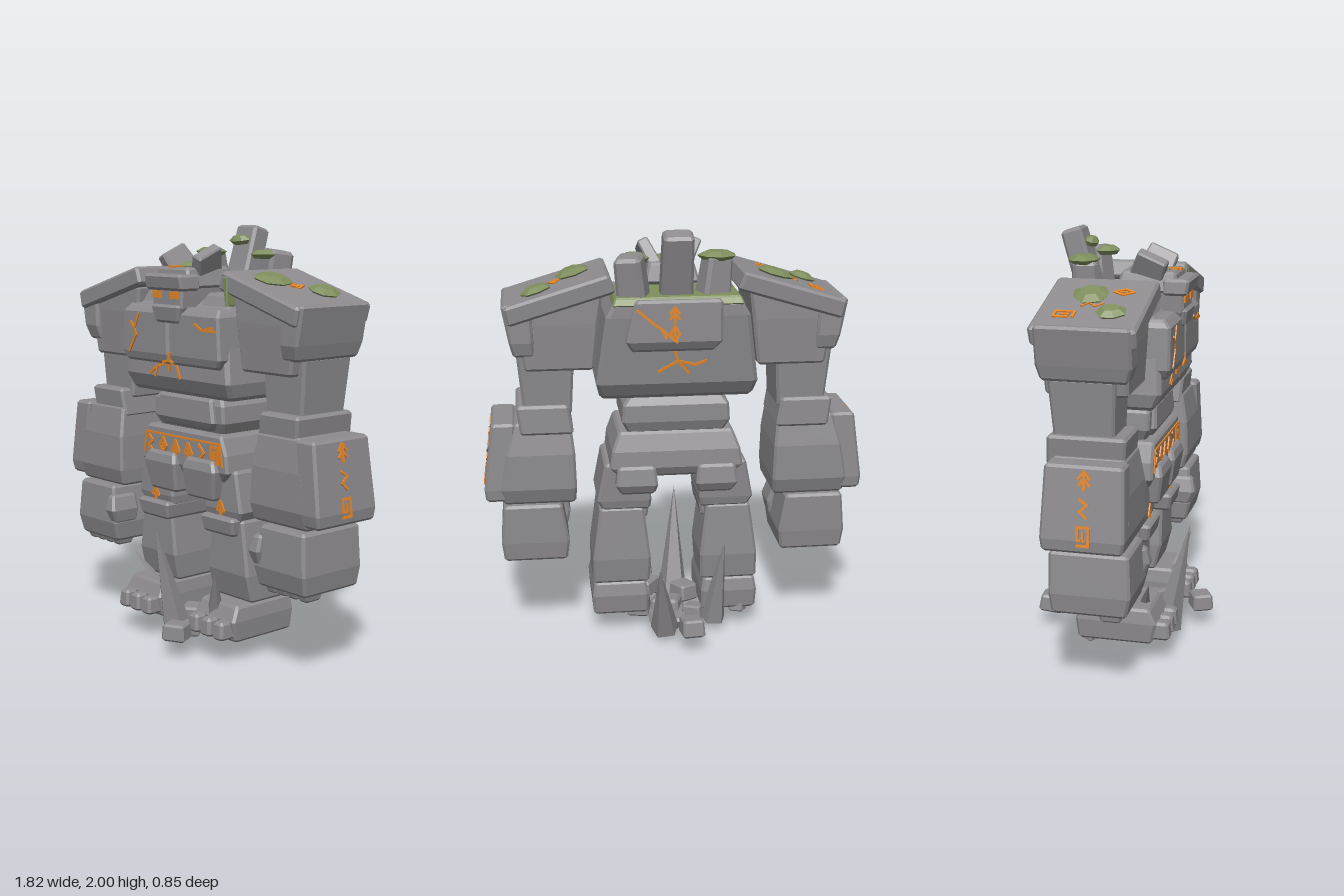
import * as THREE from 'three';
import { mergeGeometries } from 'three/addons/utils/BufferGeometryUtils.js';
import { ConvexGeometry } from 'three/addons/geometries/ConvexGeometry.js';

const mat = (name, color) => { const m = new THREE.MeshStandardMaterial({ color }); m.name = name; return m; };

export function createModel() {
  const model = new THREE.Group();
  model.name = 'stoneGolem';
  const stone = mat('stone', 0x8d8b8e), moss = mat('moss', 0x7f8e5d), ember = mat('ember', 0xe4872a);

  function add(name, geo, material, parent = model) {
    const m = new THREE.Mesh(geo, material);
    m.name = name;
    parent.add(m);
    return m;
  }

  // Chamfered block hulled over cross-sections [y, x0, x1, z0, z1], bottom to top
  function rock(name, rings, { s = 1, b = 0.012, material = stone, parent = model } = {}) {
    const pts = [];
    const ring = (y, x0, x1, z0, z1, c) => {
      for (const [x, dx] of [[x0, c], [x1, -c]]) for (const [z, dz] of [[z0, c], [z1, -c]])
        pts.push(new THREE.Vector3(s * (x + dx), y, z), new THREE.Vector3(s * x, y, z + dz));
    };
    rings.forEach(([y, x0, x1, z0, z1], i) => {
      const end = i === 0 ? 1 : i === rings.length - 1 ? -1 : 0;
      ring(y + end * b, x0, x1, z0, z1, b);
      if (end) ring(y, x0 + b, x1 - b, z0 + b, z1 - b, b / 2);
    });
    return add(name, new ConvexGeometry(pts), material, parent);
  }

  // Block of a given size, placed and turned about its centre
  function boulder(name, pos, [w, h, d], rot = [0, 0, 0], taper = 0.85) {
    const x = w / 2, z = d / 2;
    const m = rock(name, [[-h / 2, -x, x, -z, z], [h / 2, -x * taper, x * taper, -z * taper, z * taper]],
      { b: Math.min(w, h, d) * 0.12 });
    m.position.set(...pos);
    m.rotation.set(...rot);
    return m;
  }

  // Thin glowing lines; each polyline is [x, y, x, y, ...] in the plane facing +z
  function etch(name, lines, pos, size = 1, rot = [0, 0, 0], parent = model, w = 0.012) {
    const bits = [];
    for (const l of lines) for (let i = 0; i + 3 < l.length; i += 2) {
      const [x0, y0, x1, y1] = l.slice(i, i + 4).map(v => v * size);
      const g = new THREE.BoxGeometry(Math.hypot(x1 - x0, y1 - y0) + w * 0.6, w, 0.009);
      g.rotateZ(Math.atan2(y1 - y0, x1 - x0));
      g.translate((x0 + x1) / 2, (y0 + y1) / 2, 0);
      bits.push(g);
    }
    const m = add(name, mergeGeometries(bits), ember, parent);
    m.position.set(...pos);
    m.rotation.set(...rot);
    return m;
  }

  // Irregular flat-topped moss cushion
  function mossPatch(pos, rx, rz, rot = [0, 0, 0], parent = model) {
    const pts = [];
    for (let i = 0; i < 7; i++) {
      const a = i / 7 * Math.PI * 2 + pos[0] * 9, r = 1.08 - 0.12 * (i % 3 === 1);
      for (const [k, y] of [[0.55, 0.02], [1, 0], [0.75, -0.02]])
        pts.push(new THREE.Vector3(Math.cos(a) * rx * r * k, y, Math.sin(a) * rz * r * k));
    }
    const m = add('mossPatch', new ConvexGeometry(pts), moss, parent);
    m.position.set(...pos);
    m.rotation.set(...rot);
  }

  function spike(base, tip, r) {
    const a = new THREE.Vector3(...base), dir = new THREE.Vector3(...tip).sub(a), len = dir.length();
    const g = new THREE.ConeGeometry(r, len, 5).toNonIndexed();
    g.translate(0, len / 2, 0);
    g.computeVertexNormals();
    const m = add('stoneSpike', g, stone);
    m.position.copy(a);
    m.quaternion.setFromUnitVectors(new THREE.Vector3(0, 1, 0), dir.normalize());
  }

  const glyph = {
    zigzag: [[-0.4, 1, 0.4, 0.4, -0.4, -0.3, 0.3, -1]],
    diamond: [[0, 1, 0.6, 0, 0, -1, -0.6, 0, 0, 1], [0, 0.3, 0, -0.3]],
    arrow: [[-0.6, 0.2, 0, 1, 0.6, 0.2], [0, 1, 0, -1], [-0.6, -0.5, 0, 0.2, 0.6, -0.5]],
    triangle: [[-0.7, -0.4, 0, 0.9, 0.7, -0.4, -0.7, -0.4], [0, 0.4, 0, -1]],
    chevron: [[-0.5, 1, 0.5, 0, -0.5, -1]],
    square: [[-0.3, -0.4, -0.6, -0.4, -0.6, 1, 0.6, 1, 0.6, -1, -0.6, -1], [0, 0.4, 0, -0.5]],
  };

  // Torso
  rock('torso', [[1.22, -0.36, 0.36, -0.2, 0.22], [1.3, -0.375, 0.375, -0.24, 0.25],
    [1.62, -0.33, 0.33, -0.28, 0.23], [1.69, -0.3, 0.3, -0.28, 0.14]], { b: 0.018 });
  rock('backPlate', [[1.46, -0.17, 0.22, -0.28, -0.2], [1.51, -0.2, 0.24, -0.302, -0.2],
    [1.7, -0.2, 0.2, -0.302, -0.2]]);
  rock('mossMantle', [[1.67, -0.3, 0.3, -0.285, 0.04], [1.71, -0.29, 0.29, -0.27, 0.035]], { material: moss, b: 0.008 });
  rock('waist', [[1.04, -0.23, 0.23, -0.17, 0.15], [1.1, -0.255, 0.255, -0.19, 0.17],
    [1.18, -0.25, 0.25, -0.19, 0.17], [1.23, -0.22, 0.22, -0.17, 0.15]]);
  rock('bellyPlate', [[1.06, -0.19, 0.19, 0.1, 0.18], [1.1, -0.21, 0.21, 0.1, 0.195], [1.21, -0.19, 0.19, 0.1, 0.19]]);
  rock('pelvis', [[0.83, -0.28, 0.28, -0.19, 0.18], [0.88, -0.315, 0.315, -0.21, 0.2],
    [0.96, -0.305, 0.305, -0.205, 0.2], [1.05, -0.275, 0.275, -0.18, 0.2]]);

  // Belt markings
  etch('beltLine', [[-0.285, 0.91, -0.265, 1.012, 0.265, 1.012, 0.285, 0.91]], [0, 0, 0.202], 1, [0, 0, 0], model, 0.01);
  ['zigzag', 'diamond', 'triangle', 'triangle', 'chevron', 'square'].forEach((g, i) =>
    etch('beltRune', glyph[g], [-0.235 + i * 0.093, 0.957, 0.202], 0.037, [0, 0, 0], model, 0.014));

  // Head
  rock('face', [[1.57, -0.085, 0.085, 0.12, 0.28], [1.63, -0.105, 0.105, 0.08, 0.295], [1.74, -0.11, 0.11, 0, 0.295]]);
  rock('jaw', [[1.56, -0.085, 0.085, 0.18, 0.3], [1.645, -0.1, 0.1, 0.18, 0.31]]);
  rock('skull', [[1.72, -0.13, 0.13, -0.02, 0.27], [1.815, -0.11, 0.11, 0, 0.26]]);
  rock('brow', [[1.71, -0.135, 0.135, 0.2, 0.315], [1.785, -0.13, 0.13, 0.2, 0.325]]);
  etch('skullRune', glyph.square, [0, 1.817, 0.235], 0.026, [-Math.PI / 2, 0, 0]);
  mossPatch([0, 1.817, 0.125], 0.075, 0.09);
  for (const s of [-1, 1]) {
    const eye = add('eye', new THREE.BoxGeometry(0.06, 0.034, 0.009), ember);
    eye.position.set(s * 0.062, 1.69, 0.298);
    boulder('crestSlab', [s * 0.1, 1.83, 0.135], [0.06, 0.14, 0.16], [0.4, 0, -s * 0.45], 0.9);
  }

  // Rocks growing from the upper back
  boulder('backPillar', [0, 1.815, -0.2], [0.15, 0.37, 0.11], [-0.29, 0, 0], 0.92);
  mossPatch([0, 1.935, -0.165], 0.06, 0.035, [0.25, 0, 0]);
  boulder('backRock', [-0.18, 1.76, -0.15], [0.14, 0.23, 0.13], [0, 0.3, 0.12]);
  boulder('backRock', [0.205, 1.77, -0.195], [0.135, 0.24, 0.13], [-0.15, -0.3, -0.12], 0.92);
  mossPatch([-0.19, 1.875, -0.15], 0.085, 0.07);
  mossPatch([0.19, 1.87, -0.14], 0.07, 0.06);

  // Glowing cracks on chest and back
  etch('chestCrack', [[-0.22, 1.59, -0.25, 1.52, -0.24, 1.49, -0.29, 1.41], [-0.25, 1.52, -0.28, 1.55]], [0, 0, 0.286]);
  etch('chestCrack', [[0.19, 1.565, 0.24, 1.54, 0.33, 1.54], [0.24, 1.54, 0.31, 1.555]], [0, 0, 0.286]);
  etch('chestCrack', [[0.005, 1.42, 0, 1.385, -0.04, 1.375], [0, 1.385, 0.03, 1.375]], [0, 0, 0.283]);
  etch('chestCrack', [[-0.03, 1.37, -0.12, 1.35, -0.18, 1.31], [-0.12, 1.35, -0.14, 1.3], [0.01, 1.37, 0.045, 1.3],
    [-0.03, 1.37, -0.04, 1.33]], [0, 0, 0.249]);
  etch('backCrack', [[-0.19, 1.66, -0.12, 1.6, -0.08, 1.57, -0.01, 1.51], [-0.08, 1.57, -0.06, 1.53]],
    [0, 0, -0.304], 1, [0, Math.PI, 0]);
  etch('backCrack', [[-0.02, 0.06, 0, 0, -0.09, -0.05], [0, 0, 0.08, -0.02, 0.13, 0], [0, 0, 0.05, -0.06]],
    [0, 1.41, -0.256], 1, [-0.125, Math.PI, 0]);
  etch('backRune', glyph.arrow, [0.02, 1.635, -0.304], 0.035, [0, Math.PI, 0]);
  etch('backRune', glyph.diamond, [0.02, 1.55, -0.304], 0.035, [0, Math.PI, 0]);

  for (const s of [-1, 1]) {
    const o = { s };
    rock('chestPlate', [[1.365, 0.01, 0.335, 0.15, 0.275], [1.41, 0.005, 0.355, 0.15, 0.285],
      [1.6, 0.01, 0.345, 0.15, 0.285], [1.635, 0.02, 0.33, 0.15, 0.265]], o);
    rock('collarRock', [[1.58, 0.1, 0.32, 0.02, 0.22], [1.7, 0.13, 0.3, 0.02, 0.17]], o);

    // Shoulder and its sloped pad
    rock('shoulder', [[1.36, 0.38, 0.7, -0.19, 0.18], [1.58, 0.36, 0.73, -0.2, 0.19], [1.71, 0.34, 0.5, -0.2, 0.19]], o);
    rock('outerShoulderPlate', [[1.43, 0.65, 0.75, -0.2, 0.19], [1.5, 0.655, 0.765, -0.215, 0.21],
      [1.675, 0.66, 0.795, -0.215, 0.21]], o);
    const pad = new THREE.Group();
    pad.name = 'shoulderPad';
    pad.position.set(s * 0.535, 1.695, 0);
    pad.rotation.z = -s * 0.29;
    model.add(pad);
    rock('padSlab', [[-0.045, -0.255, 0.255, -0.235, 0.23], [0.045, -0.25, 0.25, -0.24, 0.23]], { s, parent: pad });
    const flat = [-Math.PI / 2, 0, 0], level = [0, 0, 0];
    if (s < 0) {
      mossPatch([0.07, 0.053, -0.04], 0.085, 0.085, level, pad);
      mossPatch([-0.09, 0.053, 0.09], 0.065, 0.065, level, pad);
      etch('padRune', glyph.square, [-0.12, 0.046, -0.11], 0.042, flat, pad);
      etch('padRune', glyph.diamond, [0.11, 0.046, 0.1], 0.045, flat, pad);
      etch('padCrack', glyph.zigzag, [-0.02, 0.046, -0.01], 0.045, flat, pad, 0.009);
    } else {
      mossPatch([-0.09, 0.053, 0.06], 0.085, 0.09, level, pad);
      mossPatch([0.09, 0.053, -0.09], 0.07, 0.075, level, pad);
      etch('padRune', glyph.triangle, [0, 0.046, -0.01], 0.038, flat, pad);
      rock('hangingMoss', [[1.65, 0.335, 0.35, 0.15, 0.235], [1.78, 0.32, 0.35, 0.1, 0.235]], { material: moss, b: 0.004 });
    }

    // Arm
    rock('upperArm', [[1.14, 0.485, 0.71, -0.15, 0.12], [1.44, 0.47, 0.735, -0.17, 0.13]], o);
    rock('elbow', [[1.05, 0.48, 0.73, -0.18, 0.17], [1.19, 0.5, 0.745, -0.175, 0.18]], o);
    rock('forearm', [[0.7, 0.475, 0.82, -0.15, 0.19], [0.78, 0.47, 0.83, -0.175, 0.21],
      [0.95, 0.475, 0.8, -0.175, 0.205], [1.1, 0.49, 0.76, -0.15, 0.18]], o);
    rock('forearmPlate', [[0.72, 0.8, 0.9, -0.16, 0.2], [0.78, 0.79, 0.905, -0.165, 0.21], [1.1, 0.75, 0.865, -0.15, 0.2]], o);
    ['square', 'zigzag', 'arrow'].forEach((g, i) => {
      const y = 0.8 + i * 0.12;
      etch('forearmRune', glyph[g], [s * (0.905 - (y - 0.78) * 0.125), y, 0.03], 0.04, [0, s * Math.PI / 2, 0])
        .rotateX(-0.12);
    });
    rock('hand', [[0.405, 0.52, 0.825, -0.14, 0.2], [0.5, 0.51, 0.835, -0.15, 0.22], [0.69, 0.54, 0.82, -0.15, 0.21]], o);
    rock('thumb', [[0.5, 0.505, 0.56, 0.08, 0.22], [0.57, 0.495, 0.57, 0.08, 0.245], [0.645, 0.515, 0.57, 0.08, 0.23]], o);
    for (let i = 0; i < 4; i++)
      rock('finger', [[0.375, 0.55 + i * 0.067, 0.605 + i * 0.067, 0.08, 0.17],
        [0.42, 0.543 + i * 0.067, 0.61 + i * 0.067, 0.07, 0.18]], { s, b: 0.008 });

    // Leg, with plates hanging over the hip front and back
    rock('hipPlate', [[0.74, 0.035, 0.235, 0.08, 0.215], [0.88, 0.025, 0.26, 0.08, 0.235], [0.93, 0.04, 0.24, 0.1, 0.225]], o);
    rock('rearHipPlate', [[0.75, 0.1, 0.27, -0.215, -0.08], [0.8, 0.09, 0.29, -0.235, -0.08],
      [0.89, 0.1, 0.28, -0.225, -0.1]], o);
    rock('thigh', [[0.65, 0.12, 0.355, -0.15, 0.16], [0.7, 0.115, 0.375, -0.16, 0.17], [0.89, 0.13, 0.34, -0.17, 0.17]], o);
    rock('knee', [[0.585, 0.13, 0.34, -0.1, 0.19], [0.67, 0.12, 0.35, -0.1, 0.2]], o);
    etch('kneeRune', glyph.triangle, [s * 0.24, 0.71, 0.172], 0.034);
    rock('shin', [[0.27, 0.125, 0.4, -0.15, 0.12], [0.4, 0.12, 0.4, -0.165, 0.15], [0.66, 0.15, 0.365, -0.15, 0.15]], o);
    rock('foot', [[0.1, 0.13, 0.4, -0.14, 0.22], [0.2, 0.13, 0.405, -0.15, 0.24], [0.27, 0.14, 0.395, -0.14, 0.21]], o);
    for (let i = 0; i < 3; i++)
      rock('toe', [[0.12, 0.143 + i * 0.087, 0.215 + i * 0.087, 0.19, 0.3],
        [0.205, 0.147 + i * 0.087, 0.21 + i * 0.087, 0.19, 0.295]], o);
  }

  // Spikes and rubble around the feet
  spike([-0.03, 0.04, 0.21], [-0.05, 0.585, 0.33], 0.078);
  spike([0.06, 0.05, -0.22], [0.1, 0.43, -0.38], 0.07);
  spike([0.19, 0.1, 0.16], [0.31, 0.44, 0.27], 0.06);
  spike([-0.18, 0.14, 0.12], [-0.38, 0.39, 0.2], 0.05);
  spike([-0.19, 0.05, -0.13], [-0.23, 0.49, -0.22], 0.065);
  const rubble = [[0.135, 0.125, 0.355, 0.115], [-0.055, 0.125, -0.365, 0.12], [0.03, 0.07, -0.02, 0.15], [0.12, 0.13, 0.12, 0.12],
    [-0.07, 0.11, 0.08, 0.12], [0.06, 0.05, -0.14, 0.1], [0.17, 0.1, -0.04, 0.12], [-0.1, 0.08, -0.1, 0.1],
    [0.06, 0.09, 0.2, 0.09], [-0.24, 0.1, 0.02, 0.09], [0.28, 0.1, 0.04, 0.09], [-0.32, 0.1, -0.1, 0.08]];
  rubble.forEach(([x, y, z, d], i) =>
    boulder('rubble', [x, y, z], [d, d * 0.7, d * 0.9], [i % 3 * 0.06, i * 1.2 + 0.45, i % 2 * 0.06], 0.93));
  rock('baseRubble', [[0, -0.01, 0.09, -0.17, -0.05], [0.08, -0.06, 0.13, -0.2, 0.08]]);
  return model;
}
